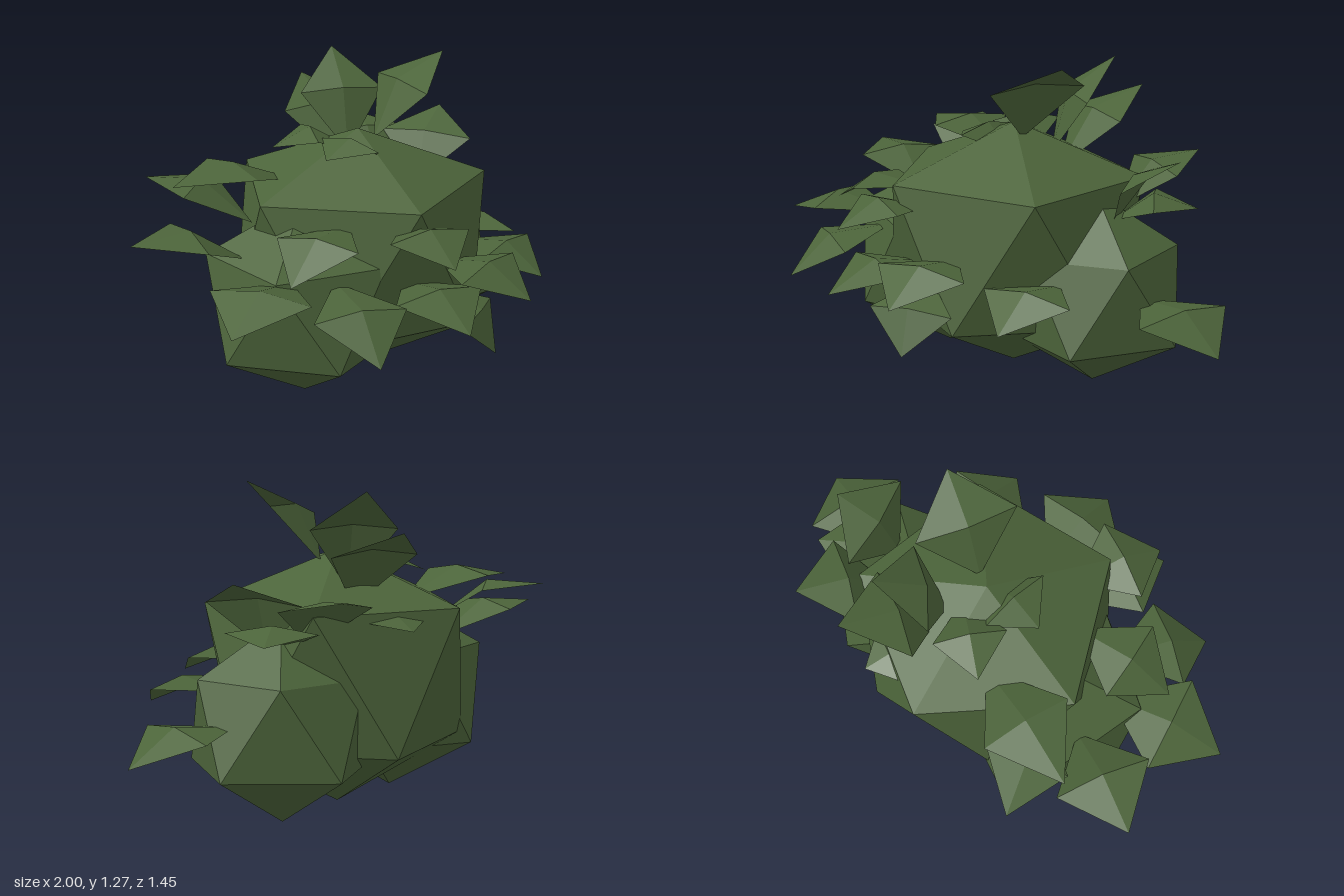
import * as THREE from 'three';
import { ConvexGeometry } from 'three/addons/geometries/ConvexGeometry.js';

const foliage = new THREE.MeshStandardMaterial({ color: 0x4c643a, flatShading: true, side: THREE.DoubleSide });
foliage.name = 'foliageGreen';

const V = (p) => new THREE.Vector3(...p);

// Faceted clump: two staggered pentagon rings between a bottom and a top point
function clump(name, x, z, [lowerR, upperR], [bottom, lower, upper, top], startDeg) {
  const points = [new THREE.Vector3(x, bottom, z), new THREE.Vector3(x, top, z)];
  for (let i = 0; i < 10; i++) {
    const a = THREE.MathUtils.degToRad(startDeg + i * 36);
    const r = i % 2 ? upperR : lowerR;
    points.push(new THREE.Vector3(x + r * Math.cos(a), i % 2 ? upper : lower, z + r * Math.sin(a)));
  }
  const mesh = new THREE.Mesh(new ConvexGeometry(points), foliage);
  mesh.name = name;
  return mesh;
}

// Folded kite leaf: arched along its length and creased along its middle
function leaf(basePoint, tipPoint, halfWidth = 0.2) {
  const base = V(basePoint), tip = V(tipPoint);
  const along = tip.clone().sub(base);
  const side = along.clone().cross(new THREE.Vector3(0, 1, 0)).normalize();
  const normal = side.clone().cross(along).normalize();
  const mid = base.clone().addScaledVector(along, 0.53).addScaledVector(normal, 0.085);
  const edge = (s) => mid.clone().addScaledVector(side, s * halfWidth).addScaledVector(normal, -0.03);
  const right = edge(1), left = edge(-1);
  const corners = [base, right, mid, right, tip, mid, tip, left, mid, left, base, mid];
  const geometry = new THREE.BufferGeometry().setFromPoints(corners);
  geometry.computeVertexNormals();
  const mesh = new THREE.Mesh(geometry, foliage);
  mesh.name = 'leaf';
  return mesh;
}

export function createModel() {
  const bush = new THREE.Group();
  bush.name = 'bush';

  // Main body
  bush.add(
    clump('centreClump', 0.01, -0.085, [0.5, 0.515], [0, 0.27, 0.8, 1.0], -86),
    clump('leftClump', 0.345, -0.25, [0.365, 0.32], [0, 0.22, 0.56, 0.77], -97),
    clump('rightClump', -0.31, 0.035, [0.375, 0.37], [0, 0.22, 0.59, 0.8], 98),
  );

  // Leaves: base, tip, half width
  const leaves = new THREE.Group();
  leaves.name = 'leaves';
  [
    // Sides
    [[0.57, 0.40, -0.31], [1.0, 0.30, -0.35], 0.21],
    [[0.46, 0.47, -0.02], [0.62, 0.39, 0.34], 0.19],
    [[0.42, 0.66, -0.28], [0.63, 0.93, -0.43]],
    [[0.38, 0.66, -0.3], [0.58, 0.72, -0.56], 0.17],
    [[-0.55, 0.60, 0.03], [-1.0, 0.73, 0.01], 0.19],
    [[-0.22, 0.80, -0.2], [-0.76, 0.87, -0.14], 0.18],
    [[-0.47, 0.70, -0.07], [-0.77, 0.85, -0.38], 0.16],
    [[-0.46, 0.55, 0.22], [-0.85, 0.52, 0.51]],
    // Front
    [[-0.2, 0.72, 0.2], [-0.57, 0.62, 0.42], 0.17],
    [[-0.32, 0.55, 0.3], [-0.38, 0.38, 0.72], 0.18],
    [[-0.02, 0.70, 0.28], [-0.03, 0.66, 0.66], 0.17],
    [[0.0, 0.48, 0.27], [0.0, 0.42, 0.72], 0.19],
    [[0.1, 0.46, 0.34], [0.25, 0.22, 0.54], 0.17],
    [[0.16, 0.53, 0.25], [0.34, 0.45, 0.63]],
    // Crown and back
    [[0.08, 0.95, -0.08], [0.39, 1.27, -0.06]],
    [[0.05, 0.88, -0.05], [-0.2, 0.93, 0.03], 0.15],
    [[0.03, 0.90, -0.18], [-0.28, 0.92, -0.26], 0.14],
    [[0.05, 0.86, -0.23], [0.12, 1.24, -0.48], 0.17],
    [[0.05, 0.80, -0.27], [0.07, 1.10, -0.65], 0.18],
    [[0.0, 0.70, -0.3], [0.0, 0.74, -0.61], 0.17],
    [[0.3, 0.68, -0.38], [0.35, 0.88, -0.73], 0.18],
  ].forEach((l) => leaves.add(leaf(...l)));
  bush.add(leaves);

  return bush;
}
